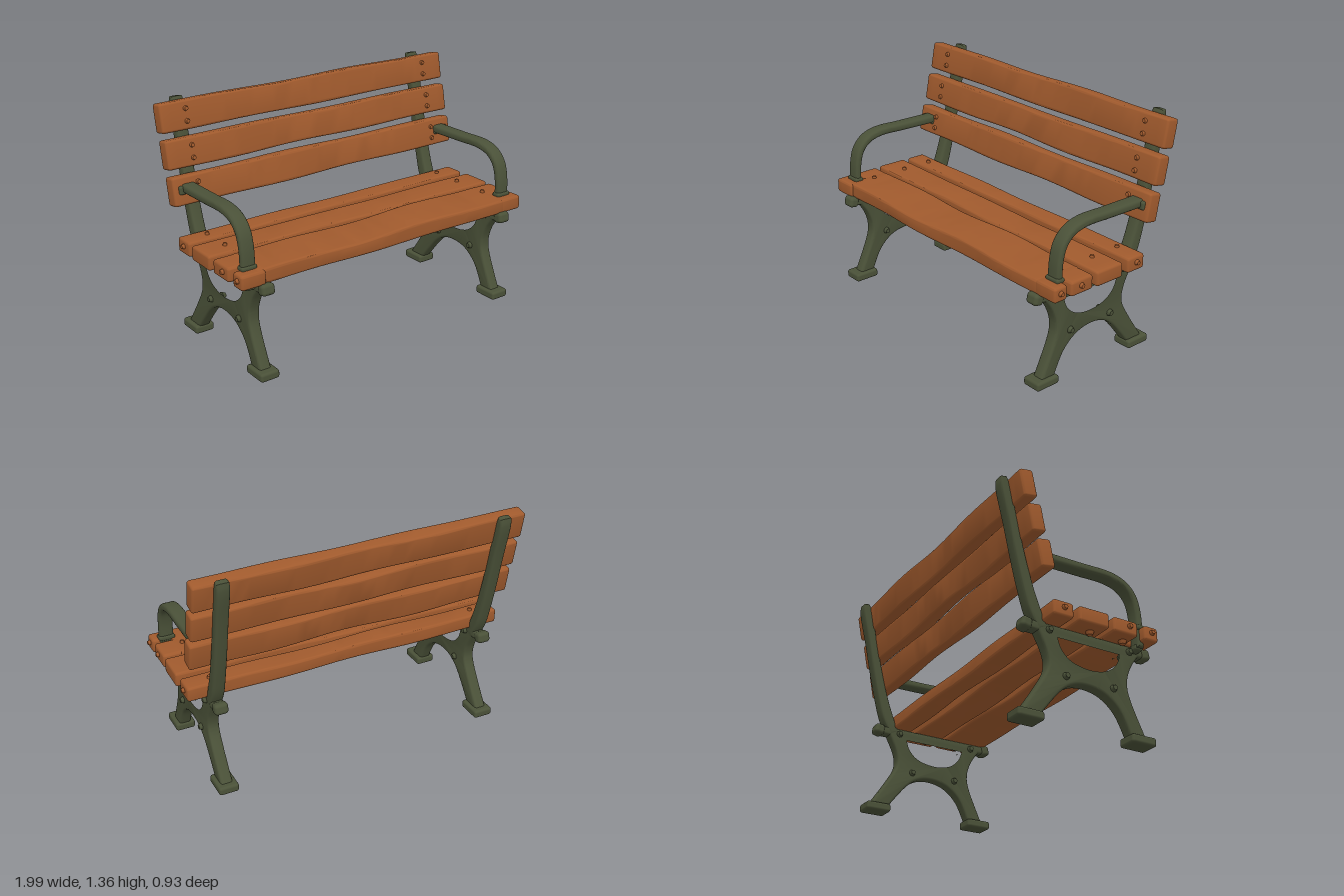
import * as THREE from 'three';
import { toCreasedNormals } from 'three/addons/utils/BufferGeometryUtils.js';
import { RoundedBoxGeometry } from 'three/addons/geometries/RoundedBoxGeometry.js';

const wood = new THREE.MeshStandardMaterial({ color: 0xa05a2d });
wood.name = 'brown wood';
const iron = new THREE.MeshStandardMaterial({ color: 0x4a5138 });
iron.name = 'green iron';

const vecs = (pts) => pts.map((p) => new THREE.Vector2(p[0], p[1]));

// Extrude a side profile drawn in (z, y) along x, centred on x = 0, with rounded edges
function extrudeSide(shape, width, bevel, steps = 1) {
  const g = new THREE.ExtrudeGeometry(shape, {
    depth: width - 2 * bevel, steps, curveSegments: 8,
    bevelThickness: bevel, bevelSize: bevel, bevelOffset: -bevel, bevelSegments: 3,
  });
  g.translate(0, 0, -(width - 2 * bevel) / 2);
  g.rotateY(-Math.PI / 2);
  return g;
}

function add(parent, name, geometry, material, x = 0, y = 0, z = 0) {
  const m = new THREE.Mesh(geometry, material);
  m.name = name;
  m.position.set(x, y, z);
  parent.add(m);
  return m;
}

// Outline of a bar of varying thickness following a centre line; points are [z, y, half thickness]
function ribbon(points, samples) {
  const curve = new THREE.CatmullRomCurve3(points.map((p) => new THREE.Vector3(...p)), false, 'centripetal');
  const a = [], b = [];
  for (let i = 0; i <= samples; i++) {
    const p = curve.getPoint(i / samples), t = curve.getTangent(i / samples);
    const l = Math.hypot(t.x, t.y);
    a.push([p.x - (t.y / l) * p.z, p.y + (t.x / l) * p.z]);
    b.unshift([p.x + (t.y / l) * p.z, p.y - (t.x / l) * p.z]);
  }
  return new THREE.Shape(vecs([...a, ...b]));
}

// Slightly uneven wooden plank running along x
function plankGeometry(x0, x1, dz, dy, seed, wobble = 0.006) {
  const w = dz / 2, h = dy / 2, r = 0.018;
  const s = new THREE.Shape();
  s.moveTo(-w + r, -h);
  s.lineTo(w - r, -h).quadraticCurveTo(w, -h, w, -h + r);
  s.lineTo(w, h - r).quadraticCurveTo(w, h, w - r, h);
  s.lineTo(-w + r, h).quadraticCurveTo(-w, h, -w, h - r);
  s.lineTo(-w, -h + r).quadraticCurveTo(-w, -h, -w + r, -h);
  const g = extrudeSide(s, x1 - x0, 0.014, Math.max(1, Math.round((x1 - x0) * 20)));
  g.translate((x0 + x1) / 2, 0, 0);
  const p = g.attributes.position;
  for (let i = 0; i < p.count; i++) {
    const x = p.getX(i), y = p.getY(i), z = p.getZ(i);
    const fade = 1 - x * x;
    p.setY(i, y + wobble * 0.5 * fade * Math.sin(x * 6 + seed + (y > 0 ? 2 : 0)));
    p.setZ(i, z + wobble * fade * Math.sin(x * 7 + seed * 2 + (z > 0 ? 1.5 : 0)));
  }
  return toCreasedNormals(g, 0.7);
}

function bolt(parent, material, x, y, z, axis, r = 0.018) {
  const m = add(parent, 'bolt', new THREE.CylinderGeometry(r * 0.65, r, 0.022, 8), material, x, y, z);
  m.quaternion.setFromUnitVectors(new THREE.Vector3(0, 1, 0), new THREE.Vector3(...axis));
}

// Cast legs and seat rail in one piece, with the round opening below the seat
function legGeometry() {
  const s = new THREE.Shape();
  s.moveTo(0.44, 0.555);
  s.lineTo(0.44, 0.51).lineTo(0.385, 0.505);
  s.splineThru(vecs([[0.335, 0.43], [0.308, 0.34], [0.325, 0.24], [0.42, 0.03]]));
  s.lineTo(0.32, 0.03);
  s.splineThru(vecs([[0.255, 0.16], [0.17, 0.235], [0.07, 0.262], [-0.03, 0.25], [-0.12, 0.19], [-0.25, 0.03]]));
  s.lineTo(-0.365, 0.03);
  s.splineThru(vecs([[-0.25, 0.2], [-0.19, 0.31], [-0.195, 0.4], [-0.245, 0.505]]));
  s.lineTo(-0.32, 0.505).lineTo(-0.32, 0.555);
  s.closePath();
  const hole = new THREE.Path();
  hole.moveTo(0.28, 0.5);
  hole.splineThru(vecs([[0.25, 0.42], [0.18, 0.36], [0.07, 0.338], [-0.05, 0.36], [-0.12, 0.42], [-0.148, 0.5]]));
  hole.closePath();
  s.holes.push(hole);
  return toCreasedNormals(extrudeSide(s, 0.07, 0.014), 0.7);
}

export function createModel() {
  const bench = new THREE.Group();
  bench.name = 'parkBench';

  // Iron side frames
  const legs = legGeometry();
  const post = toCreasedNormals(extrudeSide(ribbon([
    [-0.215, 0.52, 0.03], [-0.262, 0.62, 0.036], [-0.295, 0.72, 0.033], [-0.335, 0.87, 0.03],
    [-0.39, 1.12, 0.028], [-0.434, 1.32, 0.028], [-0.442, 1.365, 0.017]], 24), 0.074, 0.014), 0.7);
  const arm = toCreasedNormals(extrudeSide(ribbon([
    [-0.245, 0.908, 0.024], [0, 0.911, 0.023], [0.18, 0.912, 0.023], [0.27, 0.885, 0.022], [0.325, 0.83, 0.021],
    [0.35, 0.75, 0.02], [0.357, 0.64, 0.02], [0.357, 0.53, 0.02]], 36), 0.084, 0.016), 0.7);
  for (const side of [-1, 1]) {
    const frame = new THREE.Group();
    frame.name = side > 0 ? 'leftFrame' : 'rightFrame';
    bench.add(frame);
    const x = side * 0.833;
    add(frame, 'legsAndSeatRail', legs, iron, x);
    add(frame, 'backPost', post, iron, x);
    add(frame, 'armrest', arm, iron, side * 0.895);
    add(frame, 'armBracket', new RoundedBoxGeometry(0.1, 0.035, 0.05, 3, 0.012), iron, side * 0.87, 0.535, 0.355);
    add(frame, 'armCollar', new RoundedBoxGeometry(0.095, 0.03, 0.055, 3, 0.012), iron, side * 0.895, 0.645, 0.357);
    add(frame, 'armEndPlate', new RoundedBoxGeometry(0.105, 0.05, 0.03, 3, 0.012), iron, side * 0.905, 0.9, -0.228);
    add(frame, 'frontFoot', new RoundedBoxGeometry(0.118, 0.05, 0.155, 3, 0.015), iron, x, 0.028, 0.38);
    add(frame, 'rearFoot', new RoundedBoxGeometry(0.118, 0.05, 0.155, 3, 0.015), iron, x, 0.028, -0.308);
    // Rounded ends of the seat rail
    for (const [z, tilt] of [[0.435, 0.2], [-0.31, -0.2]]) {
      const knob = add(frame, 'railEnd', new RoundedBoxGeometry(0.08, 0.064, 0.062, 4, 0.02), iron, x, 0.533, z);
      knob.rotation.x = -tilt;
    }
    // Bolts on both faces
    for (const [z, y] of [[0.21, 0.283], [-0.085, 0.283], [0.325, 0.52], [-0.18, 0.52]]) {
      for (const face of [-1, 1]) bolt(frame, iron, x + face * 0.043, y, z, [face, 0, 0], 0.022);
    }
  }

  // Seat planks; the front one is slotted at both ends for the armrests
  const seat = new THREE.Group();
  seat.name = 'seat';
  bench.add(seat);
  const y = 0.597;
  add(seat, 'rearSeatPlank', plankGeometry(-0.98, 0.98, 0.125, 0.086, 1), wood, 0, y, -0.16).rotation.y = -0.004;
  add(seat, 'middleSeatPlank', plankGeometry(-0.985, 0.985, 0.188, 0.086, 2.6), wood, 0, y, 0.034).rotation.y = -0.011;
  add(seat, 'frontSeatPlank', plankGeometry(-0.875, 0.875, 0.278, 0.086, 4, 0.01), wood, 0, y, 0.291).rotation.y = -0.006;
  for (const side of [-1, 1]) {
    const x0 = side > 0 ? 0.83 : -0.98, x1 = side > 0 ? 0.98 : -0.83;
    add(seat, 'frontPlankTongue', plankGeometry(x0, x1, 0.09, 0.084, 0, 0), wood, 0, y, 0.392);
    add(seat, 'innerPlankTongue', plankGeometry(x0, x1, 0.155, 0.084, 0, 0), wood, 0, y, 0.234 + side * 0.008);
    for (const z of [0.395, 0.25, -0.16]) bolt(seat, wood, side * 0.985, 0.603, z, [side, 0, 0]);
    for (const z of [0.26, 0.03, -0.16]) bolt(seat, wood, side * 0.833, 0.643, z, [0, 1, 0], 0.015);
    for (const z of [0.26, 0.05]) bolt(seat, wood, side * 0.9, 0.546, z, [0, -1, 0], 0.025);
  }

  // Leaning back planks with their bolts
  const tilt = -0.19;
  [[0.886, -0.267], [1.082, -0.318], [1.277, -0.368]].forEach(([py, pz], i) => {
    const plank = new THREE.Group();
    plank.name = 'backPlank' + (i + 1);
    plank.position.set(0, py, pz);
    plank.rotation.x = tilt;
    bench.add(plank);
    add(plank, 'plank', plankGeometry(-0.988, 0.985, 0.084, 0.163, 1.7 * i + 0.6, 0.008), wood);
    for (const side of [-1, 1]) {
      bolt(plank, wood, side * 0.833, 0.035, 0.045, [0, 0, 1], 0.017);
      bolt(plank, wood, side * 0.833, -0.035, 0.045, [0, 0, 1], 0.017);
    }
  });
  return bench;
}
